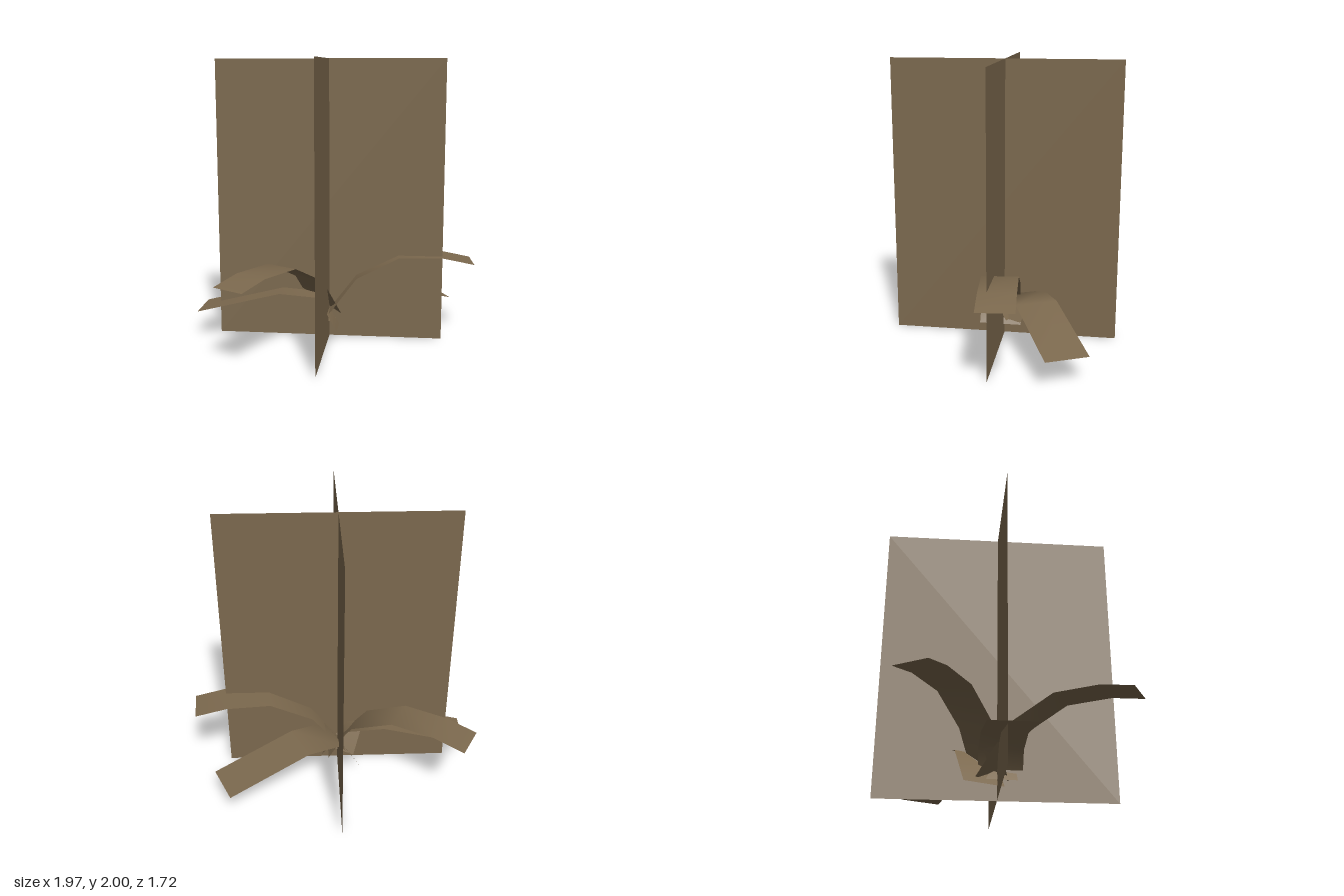
import * as THREE from 'three';

const brown = new THREE.MeshStandardMaterial({ color: 0x7c694e, side: THREE.DoubleSide });
brown.name = 'driedBrown';

// Profiles run from base to tip: [distance back from the tip, height]
const arched = [[1.08, 0.13], [0.83, 0.46], [0.53, 0.61], [0.22, 0.61], [0, 0.565]];
const drooping = [[1.01, 0.09], [0.87, 0.33], [0.6, 0.35], [0, 0.2]];

// A strip bent along a profile; +z is outward and the tip sits at z = 0
function frond(name, profile, width, tipX, tipZ, dirX, dirZ) {
  const geo = new THREE.PlaneGeometry(width, 1, 1, profile.length - 1);
  const pos = geo.attributes.position;
  for (let i = 0; i < pos.count; i++) {
    const [back, height] = profile[Math.floor(i / 2)];
    pos.setXYZ(i, pos.getX(i), height, -back);
  }
  geo.computeVertexNormals();
  const mesh = new THREE.Mesh(geo, brown);
  mesh.name = name;
  mesh.position.set(tipX, 0, tipZ);
  mesh.rotation.y = Math.atan2(dirX, dirZ);
  return mesh;
}

export function createModel() {
  const model = new THREE.Group();
  model.name = 'plant';

  // Two upright panels crossing at right angles
  [0, Math.PI / 2].forEach((turn, i) => {
    const panel = new THREE.Mesh(new THREE.PlaneGeometry(1.62, 2), brown);
    panel.name = i ? 'sidePanel' : 'frontPanel';
    panel.position.set(-0.05, 1, -0.05);
    panel.rotation.y = turn;
    model.add(panel);
  });

  // Three high arching fronds and two wider low ones
  model.add(
    frond('archedFrondLeft', arched, 0.25, 0.972, -0.135, 0.996, -0.087),
    frond('archedFrondBack', arched, 0.245, -0.922, -0.617, -0.866, -0.5),
    frond('archedFrondFront', arched, 0.245, -0.597, 0.8, -0.5, 0.866),
    frond('droopingFrondLeft', drooping, 0.3, 0.772, -0.565, 0.906, -0.423),
    frond('droopingFrondRight', drooping, 0.3, -0.99, -0.028, -1, 0),
  );
  return model;
}
